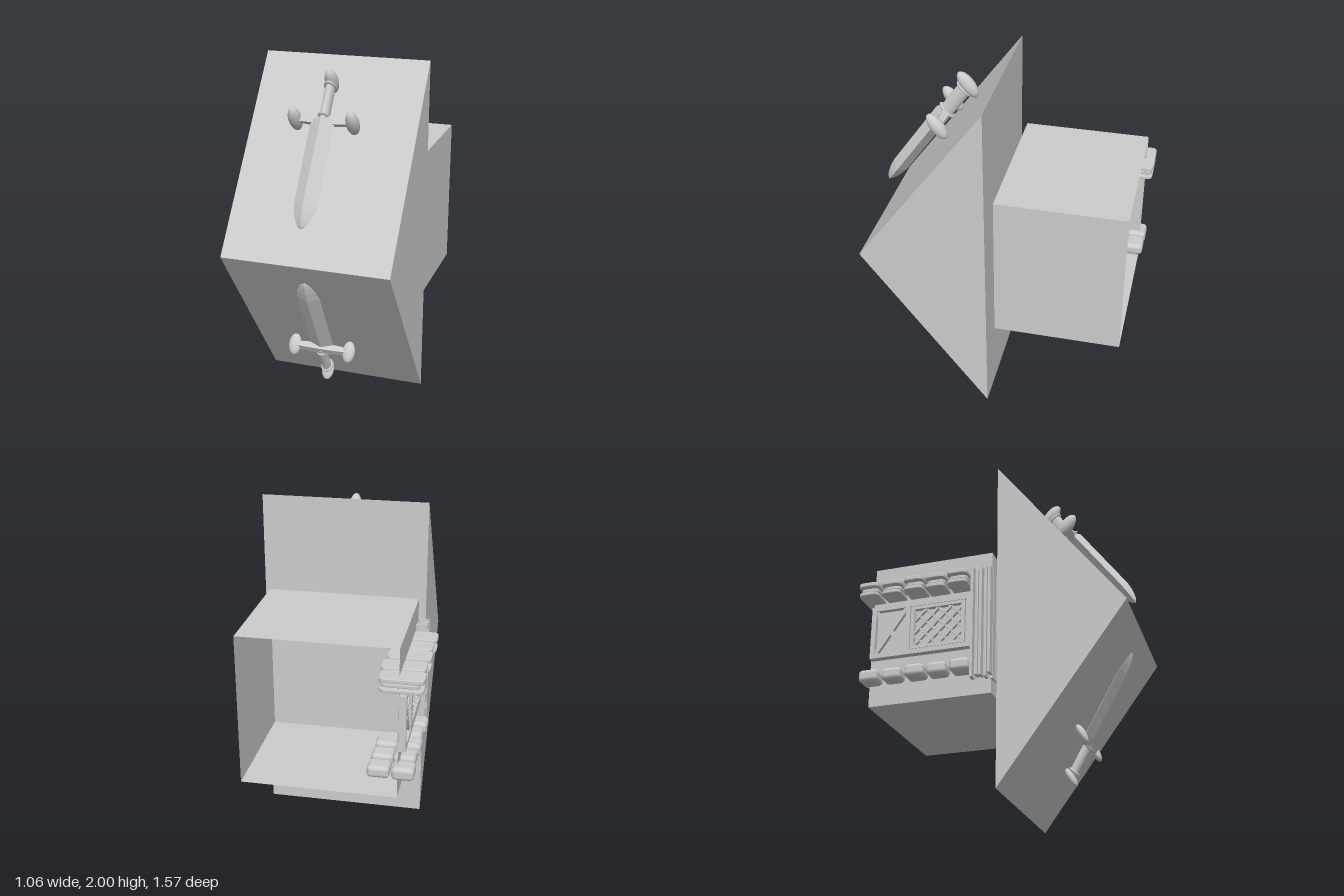
import * as THREE from 'three';
import { RoundedBoxGeometry } from 'three/addons/geometries/RoundedBoxGeometry.js';

const smooth = new THREE.MeshStandardMaterial({ color: 0xcccccc, side: THREE.DoubleSide });
const flat = new THREE.MeshStandardMaterial({ color: 0xcccccc, side: THREE.DoubleSide, flatShading: true });

function add(parent, name, geometry, material, x = 0, y = 0, z = 0) {
  const mesh = new THREE.Mesh(geometry, material);
  mesh.name = name;
  mesh.position.set(x, y, z);
  parent.add(mesh);
  return mesh;
}

function group(parent, name) {
  const g = new THREE.Group();
  g.name = name;
  parent.add(g);
  return g;
}

// Sword along local y: pommel up, tip down, guard at the origin
function makeSword(parent, name, o) {
  const sword = group(parent, name);
  sword.position.set(0.03, o.y, o.z);
  sword.rotation.x = o.angle;

  // Blade: four-sided lathe gives the diamond section
  const profile = [[0.004, 0], [0.022, 0.012], [0.04, 0.04], [0.056, 0.08], [0.067, 0.13], [0.069, o.blade], [0, o.blade]]
    .map(([r, t]) => new THREE.Vector2(r, t - o.blade));
  const blade = add(sword, 'blade', new THREE.LatheGeometry(profile, 4), flat, 0, 0, o.shift);
  blade.scale.z = o.thick / 0.069;

  // Guard arms, tapered towards the knobs
  for (const s of [-1, 1]) {
    const arm = new THREE.CylinderGeometry(0.022, 0.034, 0.15, 4);
    arm.rotateY(Math.PI / 4);
    arm.rotateZ(-s * Math.PI / 2);
    add(sword, 'guardArm', arm, flat, s * 0.075, 0, 0);
  }

  // Ellipsoid knobs on the guard and pommel
  const knob = new THREE.SphereGeometry(1, 24, 16);
  for (const [x, y] of [[-0.165, 0], [0.165, 0], [0, o.pommel]]) {
    const m = add(sword, y ? 'pommel' : 'guardKnob', knob, smooth, x, y, 0);
    m.scale.set(0.037, o.knobLong, o.knobShort);
    m.rotation.x = o.knobAngle - o.angle;
  }

  // Handle with a collar at each end
  const handle = add(sword, 'handle', new THREE.CylinderGeometry(0.026, 0.026, o.pommel, 20), smooth, 0, o.pommel / 2, 0);
  handle.scale.z = o.grip / 0.026;
  for (const y of [0.02, o.pommel - 0.035]) {
    const ring = new THREE.TorusGeometry(0.027, 0.009, 8, 24).rotateX(Math.PI / 2);
    const collar = add(sword, 'collar', ring, smooth, 0, y, 0);
    collar.scale.z = o.grip / 0.026;
    collar.rotation.x = (o.knobAngle - o.angle - Math.PI / 2) * 0.6;
    if (o.thick < 0.04) collar.rotation.x = 0.3;
  }
}

// Slab with rounded corners in plan, centred, lying flat
function slabGeometry(w, d, h) {
  const r = 0.028, b = 0.005, x = w / 2 - b, y = d / 2 - b;
  const s = new THREE.Shape();
  s.moveTo(-x + r, -y);
  s.lineTo(x - r, -y).quadraticCurveTo(x, -y, x, -y + r);
  s.lineTo(x, y - r).quadraticCurveTo(x, y, x - r, y);
  s.lineTo(-x + r, y).quadraticCurveTo(-x, y, -x, y - r);
  s.lineTo(-x, -y + r).quadraticCurveTo(-x, -y, -x + r, -y);
  const g = new THREE.ExtrudeGeometry(s, {
    depth: h - 2 * b, bevelSize: b, bevelThickness: b, bevelSegments: 2, curveSegments: 4,
  });
  return g.center().rotateX(-Math.PI / 2);
}

// Square bar on the side wall between two (z, y) points
function bar(parent, name, z0, y0, z1, y1, width, x, depth) {
  const len = Math.hypot(z1 - z0, y1 - y0);
  const m = add(parent, name, new THREE.BoxGeometry(depth, width, len), flat, x, (y0 + y1) / 2, (z0 + z1) / 2);
  m.rotation.x = -Math.atan2(y1 - y0, z1 - z0);
}

function frame(parent, name, z0, z1, y0, y1, width, x, depth) {
  const h = width / 2;
  for (const y of [y0 + h, y1 - h]) bar(parent, name, z0, y, z1, y, width, x, depth);
  for (const z of [z0 + h, z1 - h]) bar(parent, name, z, y0, z, y1, width, x, depth);
}

export function createModel() {
  const model = new THREE.Group();
  model.name = 'model';

  // Triangular front block
  const tri = new THREE.Shape([[0.042, 0], [0.783, 1], [0.042, 2]].map(p => new THREE.Vector2(...p)));
  const wedge = new THREE.ExtrudeGeometry(tri, { depth: 0.96, bevelEnabled: false });
  wedge.rotateY(-Math.PI / 2);
  add(model, 'wedge', wedge, flat, 0.53, 0, 0);

  // Rear box, open at the back (the last face is dropped)
  const box = new THREE.BoxGeometry(0.885, 0.885, 0.735);
  box.setIndex(Array.from(box.index.array).slice(0, 30));
  box.clearGroups();
  add(model, 'openBox', box, flat, 0.05, 1.0, -0.3675);

  makeSword(model, 'upperSword', {
    y: 1.703, z: 0.386, angle: -0.622, blade: 0.616, thick: 0.049, shift: 0.01,
    pommel: 0.235, grip: 0.042, knobLong: 0.087, knobShort: 0.04, knobAngle: 0.6435,
  });
  makeSword(model, 'lowerSword', {
    y: 0.36, z: 0.444, angle: -2.63, blade: 0.59, thick: 0.029, shift: 0.018,
    pommel: 0.22, grip: 0.027, knobLong: 0.062, knobShort: 0.023, knobAngle: 2.664,
  });

  // Relief on the right wall
  const relief = group(model, 'wallRelief');

  // Layered awning slabs and foundation stones, one column per step
  [-0.722, -0.585, -0.443, -0.313, -0.175].forEach((z, i) => {
    const out = i % 2 ? 0.01 : 0;
    add(relief, 'awningSlab', slabGeometry(0.243, 0.124, 0.026), flat, -0.407 + out, 1.278, z);
    add(relief, 'awningSlab', slabGeometry(0.21, 0.112, 0.022), flat, -0.4 + out, 1.25, z);
    add(relief, 'awningSlab', slabGeometry(0.235, 0.12, 0.022), flat, -0.407 + out, 1.22, z);
    add(relief, 'stone', new RoundedBoxGeometry(0.125, 0.074, 0.115, 3, 0.024), smooth, -0.423 + out, 0.718, z + 0.01);
    if (i < 3) add(relief, 'innerStone', new RoundedBoxGeometry(0.125, 0.07, 0.11, 3, 0.024), smooth, -0.288, 0.718, z + 0.01);
  });

  // Panel with a cross brace and a lattice
  const y0 = 0.84, y1 = 1.17;
  add(relief, 'panel', new THREE.BoxGeometry(0.02, y1 - y0, 0.61), flat, -0.395, (y0 + y1) / 2, -0.42);
  frame(relief, 'panelFrame', -0.728, -0.115, y0, y1, 0.028, -0.41, 0.045);
  bar(relief, 'post', -0.5, y0, -0.5, y1, 0.028, -0.41, 0.045);
  bar(relief, 'brace', -0.7, y0 + 0.03, -0.515, y1 - 0.03, 0.024, -0.41, 0.03);
  bar(relief, 'brace', -0.7, y1 - 0.03, -0.515, y0 + 0.03, 0.024, -0.41, 0.03);
  frame(relief, 'latticeFrame', -0.48, -0.15, y0 + 0.03, y1 - 0.03, 0.02, -0.412, 0.04);
  const w = 0.3, h = 0.24, n = 7;
  for (let i = 1; i < n; i++) {
    const c = (w + h) * i / n;
    const a = Math.min(c, w), b = Math.max(0, c - h);
    for (const flip of [false, true]) {
      const zAt = u => -0.465 + (flip ? w - u : u);
      bar(relief, 'latticeBar', zAt(a), y0 + 0.045 + c - a, zAt(b), y0 + 0.045 + c - b, 0.015, flip ? -0.414 : -0.41, 0.018);
    }
  }

  // Bundle of upright planks at the front end
  for (let row = 0; row < 5; row++) {
    const z = -0.1 + row * 0.026;
    for (let i = 0; i < 3; i++) {
      const x = -0.435 + i * 0.056 + (row % 2) * 0.012;
      const height = 0.69 - ((row * 2 + i) % 3) * 0.015;
      add(relief, 'uprightPlank', new THREE.BoxGeometry(0.048, height, 0.016), flat, x, 0.985, z);
    }
  }
  return model;
}
